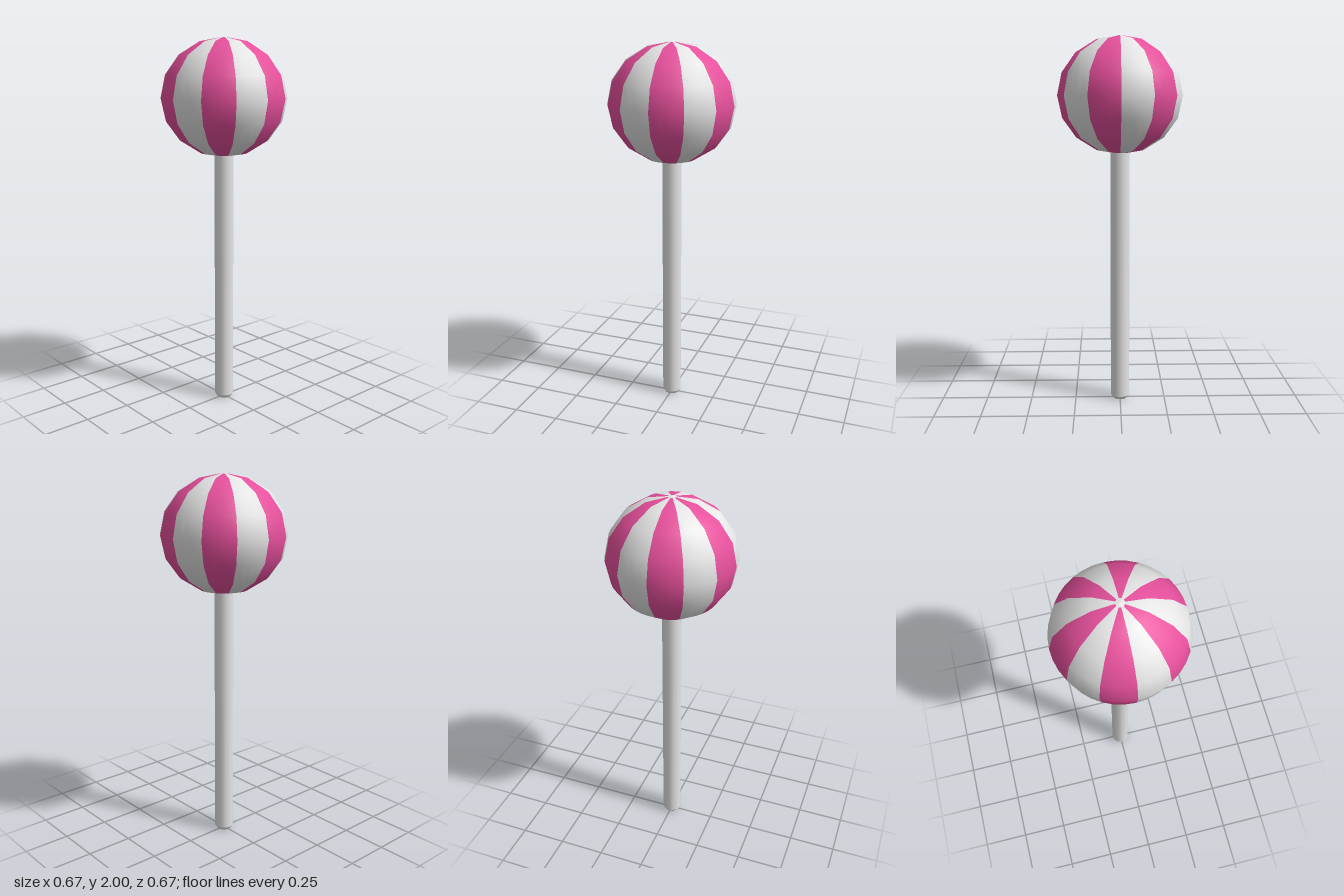
import * as THREE from 'three';

const mat = (name, color, side = THREE.FrontSide) => {
  const m = new THREE.MeshStandardMaterial({ color, side });
  m.name = name;
  return m;
};

export function createModel() {
  const group = new THREE.Group();
  group.name = 'lollipop';
  const white = mat('sugarWhite', 0xe6e6e6);
  const pink = mat('candyPink', 0xe8509d);

  const add = (name, geometry, material, y, parent = group) => {
    const mesh = new THREE.Mesh(geometry, material);
    mesh.name = name;
    mesh.position.y = y;
    parent.add(mesh);
    return mesh;
  };

  // Slightly flattened candy ball made of twelve alternating wedges
  const R = 0.333, H = 0.311, SECTORS = 12;
  const candy = new THREE.Group();
  candy.name = 'candy';
  candy.position.y = 2 - H;
  group.add(candy);
  const step = (Math.PI * 2) / SECTORS;
  for (let i = 0; i < SECTORS; i++) {
    const wedge = new THREE.SphereGeometry(R, 1, 8, i * step, step);
    wedge.scale(1, H / R, 1);
    const isPink = i % 2 === 1;
    add(isPink ? 'pinkStripe' : 'whiteStripe', wedge, isPink ? pink : white, 0, candy);
  }

  // Small white spot where the stripes meet at the top
  add('topSpot', new THREE.ConeGeometry(0.022, 0.004, 12, 1, true), white, 1.9985);

  // Round stick with a bevelled foot
  const r = 0.052, bevel = 0.018, top = 1.45;
  add('stick', new THREE.CylinderGeometry(r, r, top - bevel, 12, 1, false), white, (top + bevel) / 2);
  add('stickFoot', new THREE.CylinderGeometry(r, 0.04, bevel, 12), white, bevel / 2);

  return group;
}
